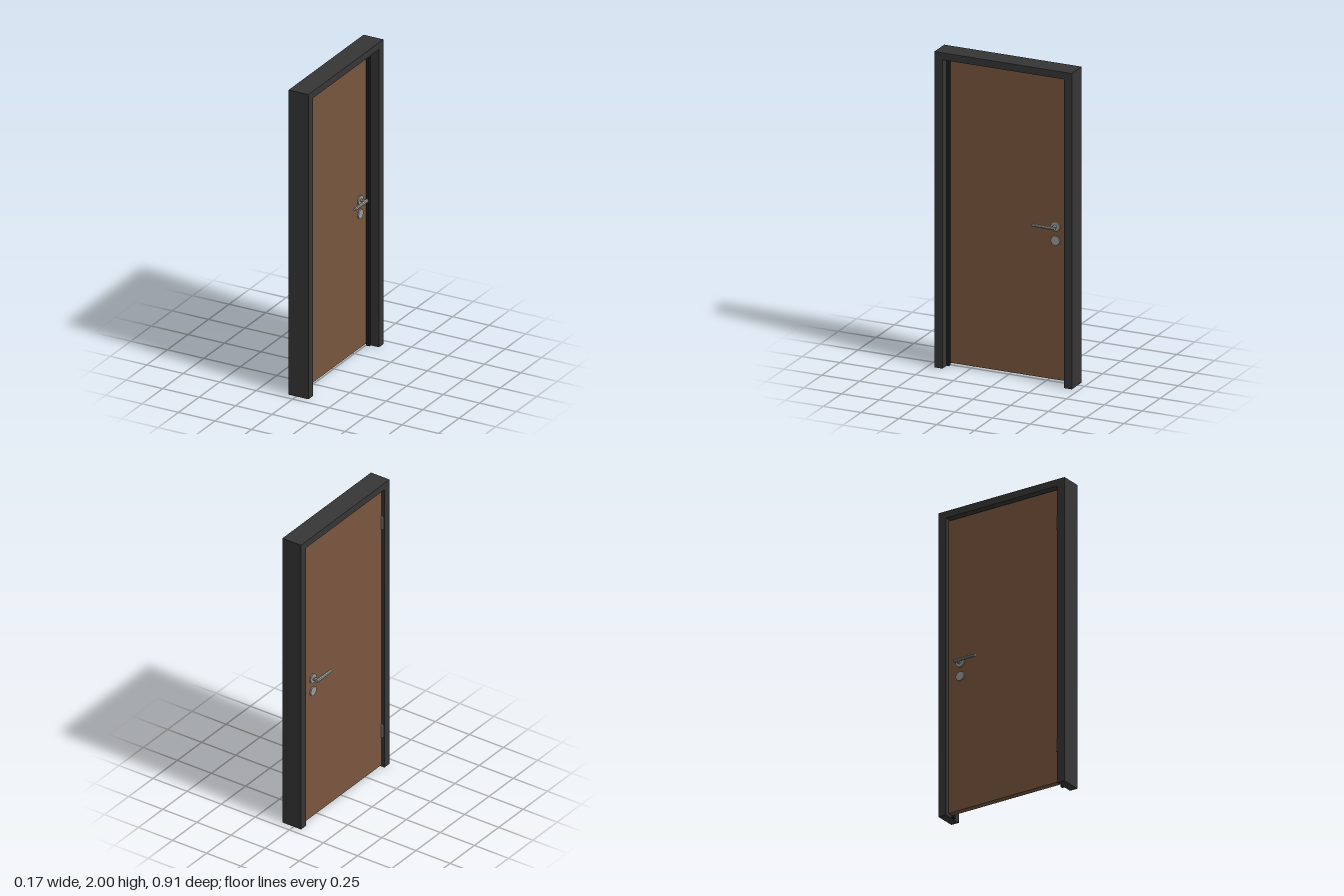
import * as THREE from 'three';

const mat = (name, color) => {
  const m = new THREE.MeshStandardMaterial({ color });
  m.name = name;
  return m;
};

export function createModel() {
  const root = new THREE.Group();
  root.name = 'door';
  const frameGrey = mat('frame grey', 0x363636);
  const sealBlack = mat('seal black', 0x1e1e1e);
  const wood = mat('brown wood', 0x79563e);
  const metal = mat('brushed metal', 0x9c9c98);
  metal.flatShading = true;

  const add = (parent, name, geo, material, x = 0, y = 0, z = 0) => {
    const m = new THREE.Mesh(geo, material);
    m.name = name;
    m.position.set(x, y, z);
    parent.add(m);
    return m;
  };

  // Upside-down U (two jambs and a head) running from x0 to x1
  const surround = (name, material, x0, x1, outer, outerTop, inner, innerTop) => {
    const s = new THREE.Shape([
      [-outer, 0], [-inner, 0], [-inner, innerTop], [inner, innerTop],
      [inner, 0], [outer, 0], [outer, outerTop], [-outer, outerTop],
    ].map(([u, v]) => new THREE.Vector2(u, v)));
    const g = new THREE.ExtrudeGeometry(s, { depth: x1 - x0, bevelEnabled: false });
    g.rotateY(Math.PI / 2);
    add(root, name, g, material, x0);
  };
  surround('frame', frameGrey, -0.053, 0.083, 0.455, 2, 0.402, 1.955);
  surround('doorStop', sealBlack, 0.004, 0.025, 0.402, 1.955, 0.386, 1.945);

  // Door leaf sits against the stop
  add(root, 'doorLeaf', new THREE.BoxGeometry(0.039, 1.925, 0.79), wood, -0.0155, 0.9775, 0);

  // One handle set per face, the second mirrored by a half turn about z
  const handleSet = (name, side, faceX) => {
    const g = new THREE.Group();
    g.name = name;
    const disc = (r, h, sides) =>
      new THREE.CylinderGeometry(r, r, h, sides).rotateZ(Math.PI / 2);
    add(g, 'rosette', disc(0.031, 0.008, 10), metal, faceX + side * 0.004, 0.985, -0.31);
    add(g, 'keyRosette', disc(0.031, 0.008, 8), metal, faceX + side * 0.004, 0.895, -0.31);
    add(g, 'neck', disc(0.011, 0.04, 8), metal, faceX + side * 0.02, 0.985, -0.31);
    const lever = new THREE.CylinderGeometry(0.0095, 0.0115, 0.15, 8).rotateX(Math.PI / 2);
    add(g, 'lever', lever, metal, faceX + side * 0.0405, 0.985, -0.25);
    root.add(g);
  };
  handleSet('outerHandle', -1, -0.035);
  handleSet('innerHandle', 1, 0.004);

  // Hinge barrels
  for (const y of [0.255, 1.72]) {
    add(root, 'hinge', new THREE.CylinderGeometry(0.007, 0.007, 0.085, 8), metal, -0.041, y, 0.396);
  }
  return root;
}
